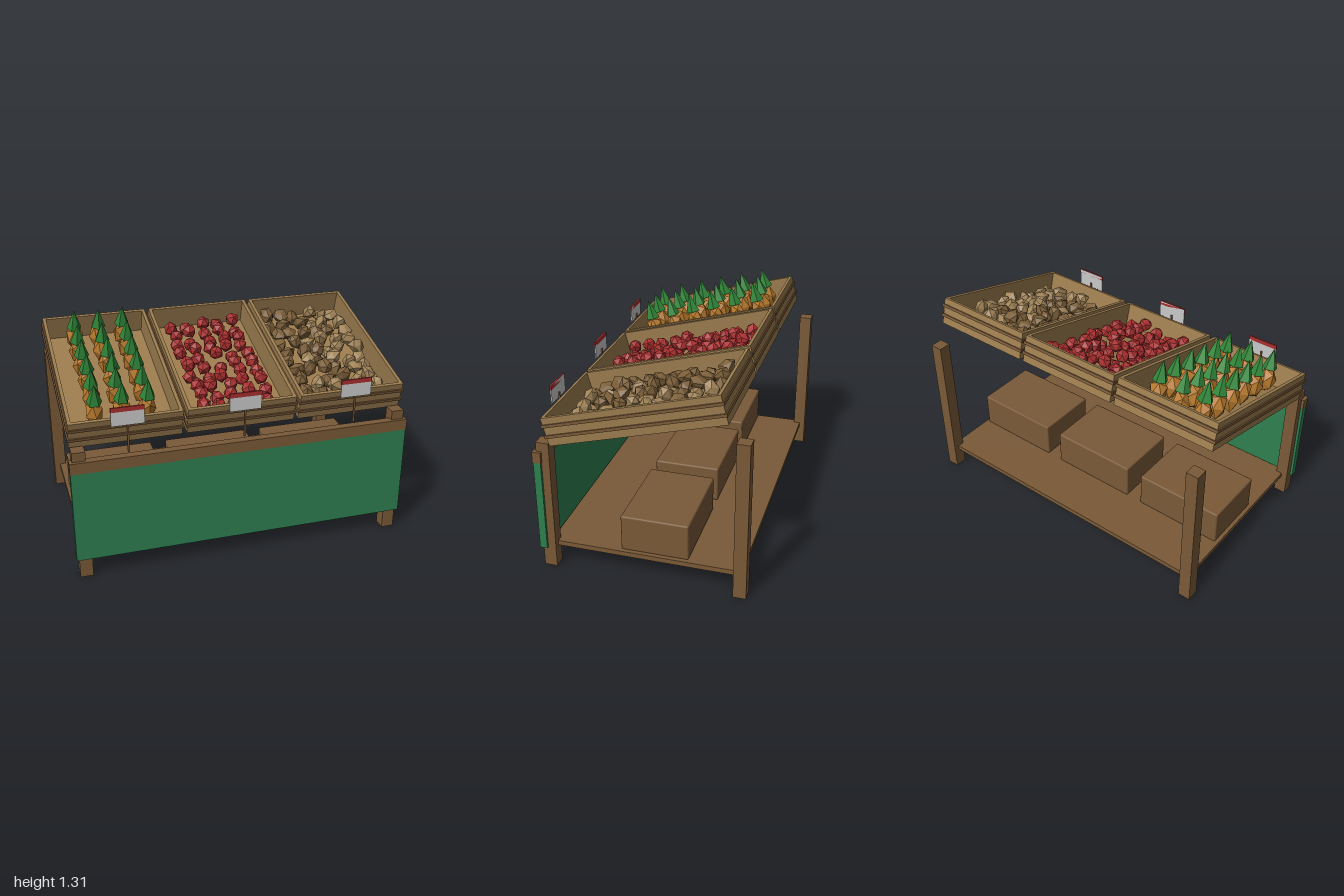
import * as THREE from 'three';
import { RoundedBoxGeometry } from 'three/addons/geometries/RoundedBoxGeometry.js';

const material = (name, color) => Object.assign(new THREE.MeshStandardMaterial({ color }), { name });

// Small seeded generator for natural variation
function seeded(seed) {
  return () => {
    seed = (seed * 16807) % 2147483647;
    return seed / 2147483647;
  };
}

// Faceted lump: an icosahedron whose corners are pushed in and out by a rule
function lumpGeometry(radius, rough) {
  const geometry = new THREE.IcosahedronGeometry(radius, 0);
  const p = geometry.attributes.position;
  const v = new THREE.Vector3();
  for (let i = 0; i < p.count; i++) {
    v.fromBufferAttribute(p, i);
    const n = v.clone().divideScalar(radius);
    v.multiplyScalar(1 + rough * Math.sin(n.x * 5 + n.y * 3 + n.z * 7));
    p.setXYZ(i, v.x, v.y, v.z);
  }
  geometry.computeVertexNormals();
  return geometry;
}

export function createModel() {
  const mats = {
    wood: material('dark wood', 0x7a5a38),
    crate: material('crate wood', 0x9c7c4e),
    cloth: material('green panel', 0x2e8050),
    leaf: material('leaf green', 0x2f8538),
    fruit: material('pineapple skin', 0xb5782c),
    red: material('tomato red', 0xa82e2e),
    potatoLight: material('light potato', 0xa08357),
    potatoDark: material('dark potato', 0x7c5f39),
    sign: material('sign grey', 0xcacaca),
  };
  const model = new THREE.Group();
  model.name = 'marketStall';

  const add = (parent, name, geometry, mat, x, y, z) => {
    const mesh = new THREE.Mesh(geometry, mat);
    mesh.name = name;
    mesh.position.set(x, y, z);
    parent.add(mesh);
    return mesh;
  };
  const box = (parent, name, mat, w, h, d, x, y, z) =>
    add(parent, name, new THREE.BoxGeometry(w, h, d), mat, x, y, z);

  // Four boards around a rectangle, open in the middle
  const frame = (parent, name, mat, w, h, d, t, y) => {
    for (const s of [-1, 1]) {
      box(parent, name + 'Side', mat, t, h, d, s * (w - t) / 2, y, 0);
      box(parent, name + 'End', mat, w - 2 * t, h, t, 0, y, s * (d - t) / 2);
    }
  };

  // Table: legs, shelf, rail and front panel
  for (const s of [-1, 1]) {
    box(model, 'frontLeg', mats.wood, 0.075, 0.8, 0.075, s * 0.945, 0.4, 0.549);
    box(model, 'backLeg', mats.wood, 0.075, 0.955, 0.075, s * 0.945, 0.4775, -0.567);
  }
  box(model, 'shelf', mats.wood, 1.89, 0.03, 1.12, 0, 0.135, -0.01);
  box(model, 'frontRail', mats.wood, 2, 0.067, 0.05, 0, 0.7115, 0.58);
  box(model, 'frontPanel', mats.cloth, 1.996, 0.555, 0.044, 0, 0.4005, 0.58);

  // Storage boxes on the shelf
  const storage = new RoundedBoxGeometry(0.55, 0.22, 0.395, 2, 0.01);
  for (const x of [-0.65, 0, 0.65]) add(model, 'storageBox', storage, mats.wood, x, 0.26, -0.063);

  // Three tilted crates
  const W = 0.64, H = 0.166, D = 1.026;
  const crates = [-0.667, 0, 0.667].map((x, i) => {
    const crate = new THREE.Group();
    crate.name = ['pineappleCrate', 'tomatoCrate', 'potatoCrate'][i];
    crate.position.set(x, 1.005, 0.0275);
    crate.rotation.x = THREE.MathUtils.degToRad(15.2);
    model.add(crate);
    frame(crate, 'crateWall', mats.crate, W, H, D, 0.02, 0);
    box(crate, 'crateFloor', mats.crate, W - 0.04, 0.02, D - 0.04, 0, -H / 2 + 0.01, 0);
    for (const y of [0.036, -0.027]) frame(crate, 'crateStrip', mats.wood, W + 0.016, 0.018, D + 0.016, 0.012, y);
    return crate;
  });

  // Price signs on stakes
  for (const x of [-0.667, 0, 0.667]) {
    box(model, 'signStake', mats.wood, 0.011, 0.2, 0.008, x, 0.86, 0.571);
    box(model, 'signBoard', mats.sign, 0.186, 0.106, 0.008, x, 0.98, 0.579);
    box(model, 'signStripe', mats.red, 0.188, 0.026, 0.01, x, 1.023, 0.58);
  }

  const rand = seeded(4711);
  const jitter = (a) => (rand() - 0.5) * 2 * a;

  // Pineapples: faceted bodies with pointed crowns
  const body = lumpGeometry(0.055, 0.04);
  body.scale(1, 1.5, 1);
  body.computeVertexNormals();
  const crown = new THREE.ConeGeometry(0.046, 0.125, 5).toNonIndexed();
  crown.computeVertexNormals();
  for (let r = 0; r < 6; r++) {
    for (const x of [-0.145, 0, 0.145]) {
      const pineapple = new THREE.Group();
      pineapple.name = 'pineapple';
      pineapple.position.set(x + jitter(0.006), 0.02, 0.364 - r * 0.1456);
      pineapple.rotation.y = rand() * Math.PI * 2;
      add(pineapple, 'pineappleBody', body, mats.fruit, 0, 0, 0);
      add(pineapple, 'pineappleCrown', crown, mats.leaf, 0, 0.134, 0);
      crates[0].add(pineapple);
    }
  }

  // Tomatoes in loose rows, some lying higher
  const tomato = lumpGeometry(0.045, 0.05);
  for (let r = 0; r < 10; r++) {
    for (let c = 0; c < 5; c++) {
      const mesh = add(crates[1], 'tomato', tomato, mats.red,
        (c - 2) * 0.098 + jitter(0.018), 0.002 + jitter(0.025), (r - 4.5) * 0.087 + jitter(0.012));
      mesh.rotation.set(rand() * 6, rand() * 6, rand() * 6);
    }
  }

  // Potatoes in a looser pile, darker toward one side
  const potato = lumpGeometry(0.05, 0.12);
  for (let r = 0; r < 9; r++) {
    for (let c = 0; c < 6; c++) {
      const dark = rand() < 0.95 - c * 0.22;
      const mesh = add(crates[2], 'potato', potato, dark ? mats.potatoDark : mats.potatoLight,
        (c - 2.5) * 0.092 + jitter(0.02), 0.004 + jitter(0.026), (r - 4) * 0.095 + jitter(0.02));
      mesh.rotation.set(rand() * 6, rand() * 6, rand() * 6);
      mesh.scale.set(1.15, 0.85, 0.95);
    }
  }
  return model;
}
